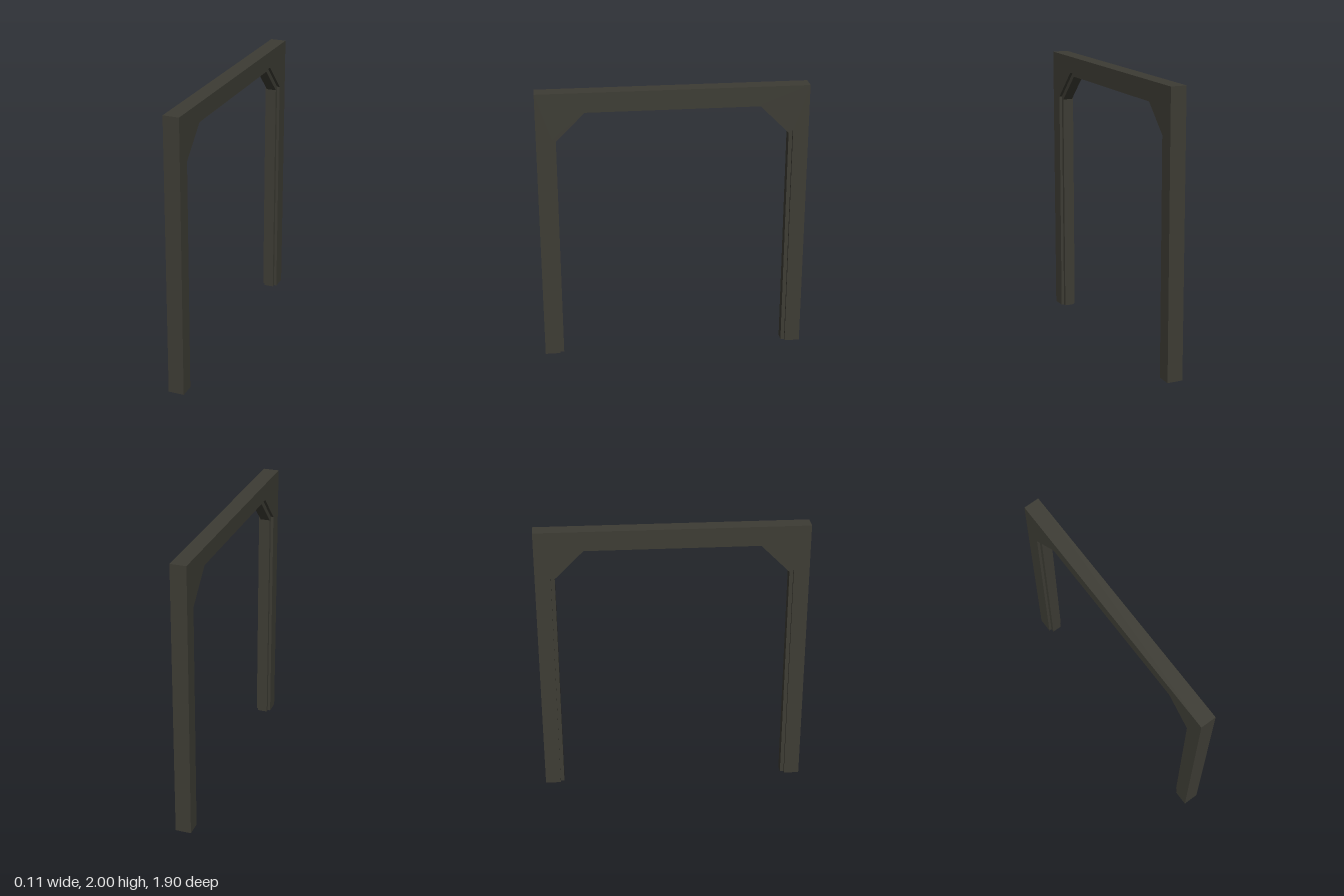
import * as THREE from 'three';

// Half outline of an arch opening with chamfered corners, from foot to crown: [z, y]
const outerEdge = [[0.95, 0], [0.95, 2]];
const rebateEdge = [[0.84, 0], [0.84, 1.67], [0.63, 1.88]];
const openingEdge = [[0.813, 0], [0.813, 1.65], [0.61, 1.852]];

// Mirror a half outline into a full one running from the +z foot to the -z foot
const fullOutline = (half) => [...half, ...half.map(([z, y]) => [-z, y]).reverse()];

// Arch-shaped band between two outlines, extruded across x
function archBand(outer, inner, thickness, material, name) {
  const points = [...fullOutline(outer), ...fullOutline(inner).reverse()];
  const shape = new THREE.Shape(points.map(([z, y]) => new THREE.Vector2(z, y)));
  const geometry = new THREE.ExtrudeGeometry(shape, { depth: thickness, bevelEnabled: false });
  geometry.translate(0, 0, -thickness / 2);
  geometry.rotateY(-Math.PI / 2);
  const mesh = new THREE.Mesh(geometry, material);
  mesh.name = name;
  return mesh;
}

export function createModel() {
  const group = new THREE.Group();
  group.name = 'doorFrame';
  const darkPaint = new THREE.MeshStandardMaterial({ color: 0x3d3c34 });
  darkPaint.name = 'dark olive grey';

  // Main posts and lintel
  group.add(archBand(outerEdge, rebateEdge, 0.113, darkPaint, 'frame'));
  // Narrower stop lining the opening, leaving a rebate on both sides
  group.add(archBand(rebateEdge, openingEdge, 0.072, darkPaint, 'doorStop'));
  return group;
}
